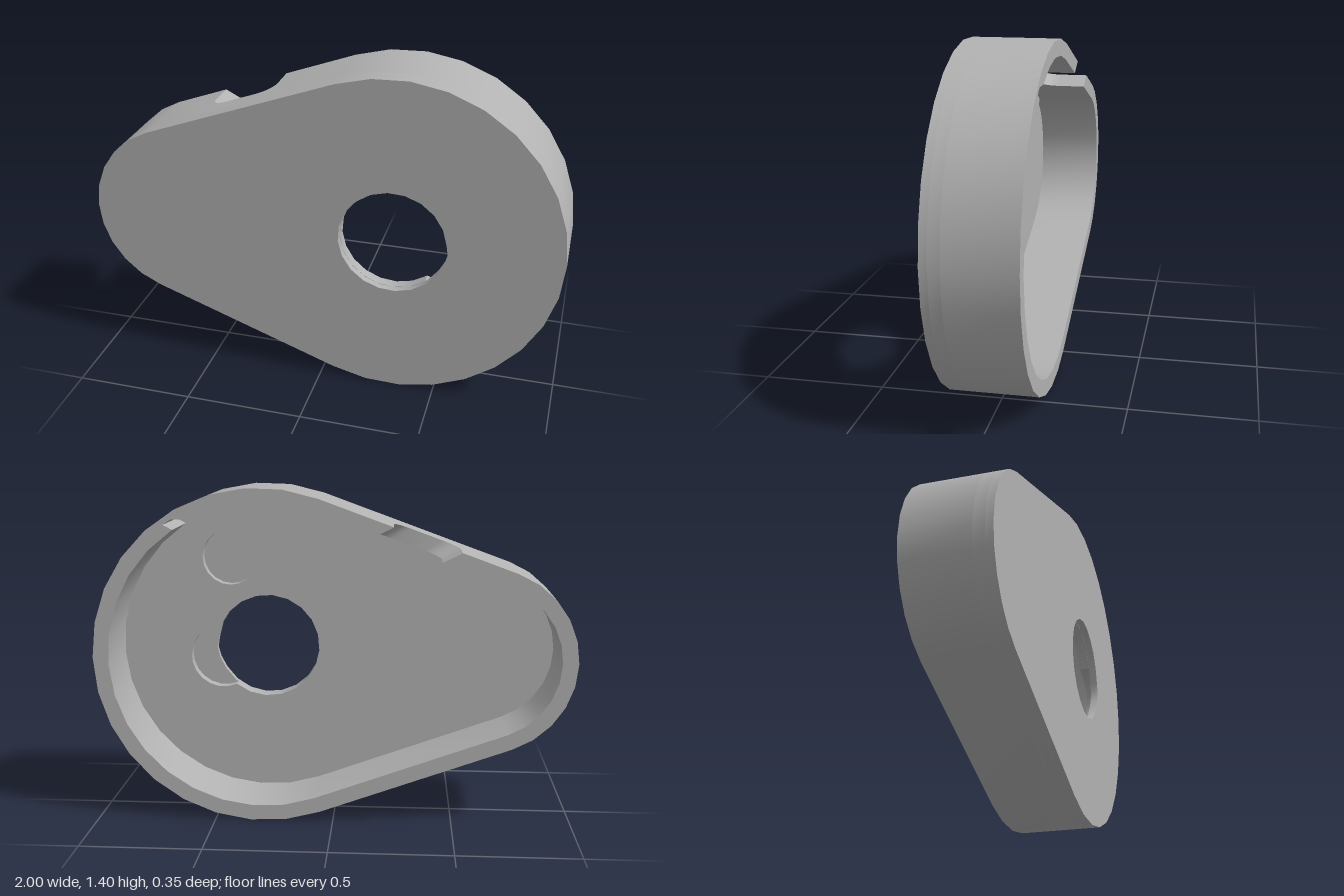
import * as THREE from 'three';
import { toCreasedNormals } from 'three/addons/utils/BufferGeometryUtils.js';

const CY = 0.702, BIG = { x: 0.298, r: 0.702 }, SMALL = { x: -0.61, r: 0.39 };
const BACK = -0.176, FLOOR = 0.1, POCKET = 0.145, FRONT = 0.176, WALL = 0.065;
const TILT = Math.asin((BIG.r - SMALL.r) / (BIG.x - SMALL.x));
const A = Math.PI / 2 + TILT; // angle where the arcs meet the straight flanks

const V = (x, y) => new THREE.Vector2(x, y);

function arc(cx, cy, r, from, to, n) {
  return Array.from({ length: n + 1 }, (_, i) => {
    const t = from + (to - from) * i / n;
    return V(cx + r * Math.cos(t), cy + r * Math.sin(t));
  });
}

// Teardrop outline, starting at the upper flank of the small end
function outline(inset) {
  return [
    ...arc(SMALL.x, CY, SMALL.r - inset, A, 2 * Math.PI - A, 10),
    ...arc(BIG.x, CY, BIG.r - inset, -A, A, 18),
  ];
}

function extrude(shape, z0, z1) {
  const g = new THREE.ExtrudeGeometry(shape, { depth: z1 - z0, bevelEnabled: false });
  g.translate(0, 0, z0);
  return toCreasedNormals(g, 0.5);
}

export function createModel() {
  const group = new THREE.Group();
  const grey = new THREE.MeshStandardMaterial({ color: 0xb2b2b2 });
  grey.name = 'grey';
  const add = (name, geometry) => {
    const mesh = new THREE.Mesh(geometry, grey);
    mesh.name = name;
    group.add(mesh);
  };

  // Front skin with the shaft hole
  const skin = new THREE.Shape(outline(0));
  skin.holes.push(new THREE.Path([
    ...arc(0.3, CY, 0.226, 0.1, 5.75, 18), V(0.52, 0.635), V(0.532, 0.68),
  ]));
  add('frontPlate', extrude(skin, POCKET, FRONT));

  // Inner layer: shaft hole merged with a side pocket, plus a round blind pocket
  const layer = new THREE.Shape(outline(0));
  const dir = -0.2355;
  layer.holes.push(new THREE.Path([
    ...arc(0.3, CY, 0.225, dir + 0.658, dir - 0.658 + 2 * Math.PI, 16),
    ...arc(0.5, CY - 0.048, 0.14, dir - 1.77, dir + 1.77, 12).slice(1, -1),
  ]));
  layer.holes.push(new THREE.Path(arc(0.46, 1.09, 0.12, 0, 2 * Math.PI, 20).slice(0, -1)));
  add('pocketLayer', extrude(layer, FLOOR, POCKET));

  // Rim wall, left open between the two slanted notch ends
  const tangent = V(Math.cos(TILT), Math.sin(TILT));
  const flank = V(BIG.x + BIG.r * Math.cos(A), CY + BIG.r * Math.sin(A));
  const onFlank = (x) => V(x, flank.y + (x - flank.x) * Math.tan(TILT));
  const slant = V(0.89, -0.456);
  slant.multiplyScalar(WALL / (0.89 * Math.sin(TILT) + 0.456 * Math.cos(TILT)));
  const low = onFlank(-0.52), high = onFlank(-0.245);
  const ri = BIG.r - WALL;
  const inner = [
    ...arc(BIG.x, CY, ri, A, 0.92, 5),
    // small nick in the inner wall
    ...arc(BIG.x, CY, ri + 0.038, 0.96, 1.02, 1).reverse(),
    ...arc(BIG.x, CY, ri, 0.99, -A, 14).slice(0),
    ...arc(SMALL.x, CY, SMALL.r - WALL, 2 * Math.PI - A, A, 10),
  ];
  // order the nick so that it runs clockwise with the inner wall
  inner.splice(0, 6, ...arc(BIG.x, CY, ri, A, 1.12, 4));
  add('rimWall', extrude(new THREE.Shape([
    low, ...outline(0), high, high.clone().add(slant), ...inner, low.clone().add(slant),
  ]), BACK, FLOOR));

  // Remaining wall under the notch, with rounded notch corners, sheared to the slant
  const L = high.distanceTo(low), R = 0.075, Z = 0.02;
  const sill = new THREE.Shape([
    V(0, FLOOR),
    ...arc(R, Z - R, R, Math.PI, Math.PI / 2, 6),
    ...arc(L - R, Z - R, R, Math.PI / 2, 0, 6),
    V(L, FLOOR),
  ]);
  const sillGeo = extrude(sill, 0, 1);
  sillGeo.applyMatrix4(new THREE.Matrix4().set(
    tangent.x, 0, slant.x, low.x,
    tangent.y, 0, slant.y, low.y,
    0, 1, 0, 0,
    0, 0, 0, 1,
  ));
  add('notchSill', toCreasedNormals(sillGeo, 0.5));

  return group;
}
